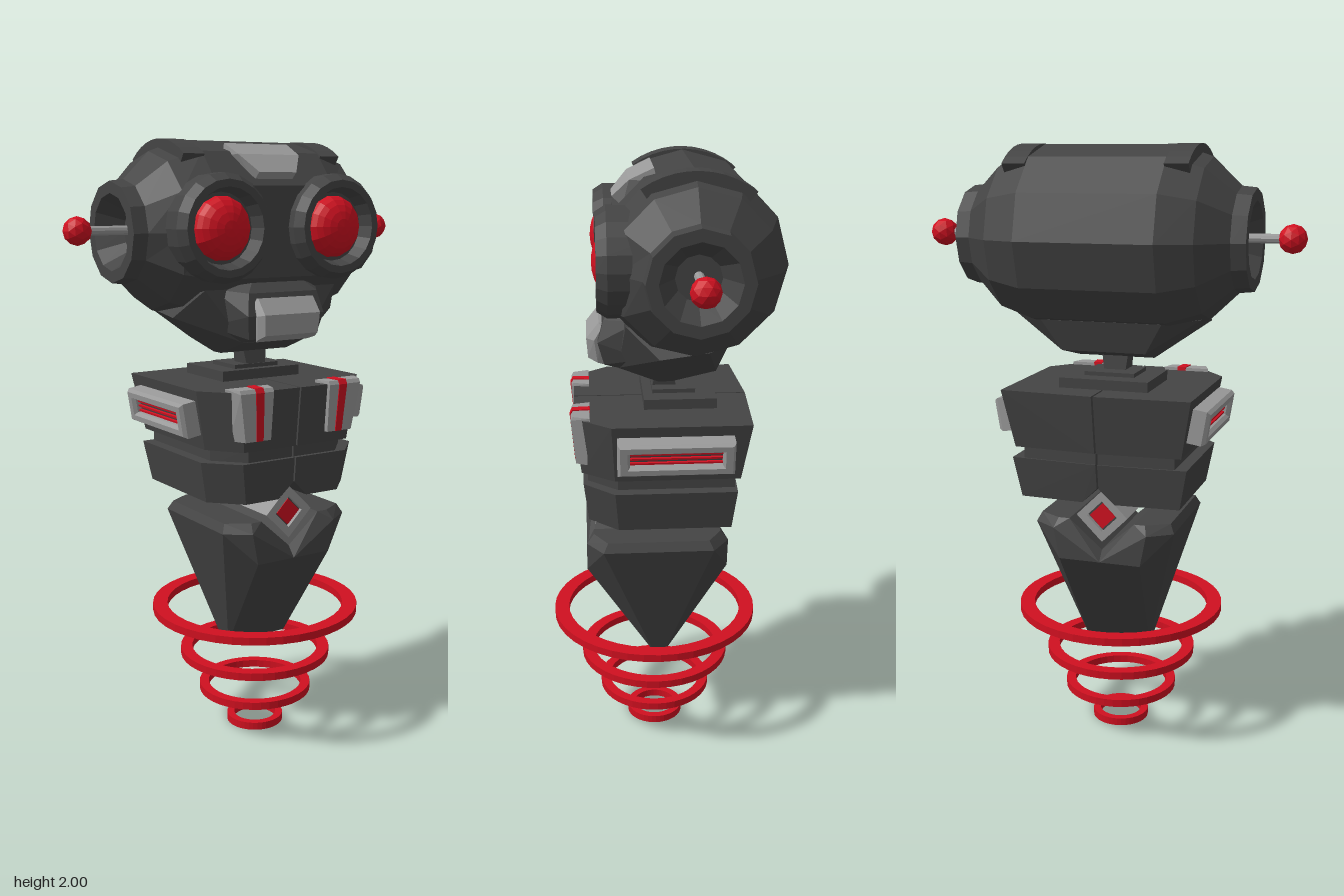
import * as THREE from 'three';
import { ConvexGeometry } from 'three/addons/geometries/ConvexGeometry.js';

const mat = (color) => new THREE.MeshStandardMaterial({ color, flatShading: true });

export function createModel() {
  const model = new THREE.Group();
  const dark = mat(0x444444), grey = mat(0x999999), red = mat(0xd01020);

  const add = (name, geo, material, x = 0, y = 0, z = 0, parent = model) => {
    const mesh = new THREE.Mesh(geo, material);
    mesh.name = name;
    mesh.position.set(x, y, z);
    parent.add(mesh);
    return mesh;
  };
  const box = (name, w, h, d, material, x, y, z, parent) =>
    add(name, new THREE.BoxGeometry(w, h, d), material, x, y, z, parent);
  const lathe = (pts, sides) => new THREE.LatheGeometry(pts.map((p) => new THREE.Vector2(...p)), sides);
  // faceted solid from corner points; s = -1 gives the other side
  const hull = (pts, s = 1) => new ConvexGeometry(pts.map(([x, y, z]) => new THREE.Vector3(x * s, y, z)));
  const both = (pts) => hull([...pts, ...pts.map(([x, y, z]) => [-x, y, z])]);

  // head barrel with hollow ears, flattened where the eyes sit
  const headY = 1.716, headZ = -0.087;
  const half = [[0.29, 0.22], [0.252, 0.33], [0.165, 0.42], [0.16, 0.467], [0.122, 0.467], [0.07, 0.385], [0, 0.385]];
  const profile = [...half.map(([r, x]) => [r, -x]).reverse(), ...half];
  const barrel = lathe(profile, 12).rotateZ(-Math.PI / 2).scale(1, 0.985, 0.99);
  const bp = barrel.attributes.position;
  for (let i = 0; i < bp.count; i++) bp.setZ(i, Math.min(bp.getZ(i), 0.235));
  add('head', barrel, dark, 0, headY, headZ);

  // forehead plate
  add('foreheadPlate', both([
    [0.12, 1.99, 0.025], [0.115, 1.955, 0.1], [0.07, 1.9, 0.152],
    [0.12, 1.95, 0.015], [0.07, 1.87, 0.12],
  ]), grey);

  // jaw under the head, and the snout in front of it
  add('jaw', both([
    [0.13, 1.325, 0.015], [0.13, 1.325, -0.03], [0.14, 1.36, -0.17], [0.2, 1.46, -0.2],
    [0.18, 1.375, 0.06], [0.31, 1.45, 0.02], [0.31, 1.47, -0.13], [0.25, 1.54, 0.12], [0.12, 1.37, 0.14],
  ]), dark);
  add('snout', both([
    [0.1, 1.56, 0.155], [0.13, 1.53, 0.185], [0.145, 1.46, 0.205], [0.13, 1.385, 0.185],
    [0.2, 1.54, 0.08], [0.2, 1.42, 0.06], [0.12, 1.36, 0.1],
  ]), dark);
  add('mouthPlate', both([
    [0.105, 1.515, 0.2], [0.105, 1.465, 0.24], [0.1, 1.4, 0.235], [0.115, 1.5, 0.19],
    [0.118, 1.46, 0.215], [0.11, 1.385, 0.205], [0.1, 1.375, 0.18], [0.1, 1.51, 0.15],
  ]), grey);

  for (const s of [1, -1]) {
    const side = s > 0 ? 'left' : 'right';

    // goggle with a sunken dish and a domed eye
    const rim = lathe([[0.165, 0.03], [0.168, 0.175], [0.148, 0.207], [0.125, 0.207], [0.11, 0.157], [0, 0.157]], 20);
    add(side + 'EyeRim', rim.rotateX(Math.PI / 2), dark, s * 0.212, 1.73, 0);
    const eye = new THREE.SphereGeometry(0.1, 14, 6, 0, Math.PI * 2, 0, Math.PI / 2).rotateX(Math.PI / 2).scale(1, 1, 0.65);
    add(side + 'Eye', eye, red, s * 0.212, 1.73, 0.155);

    // strap over the crown, following the barrel
    const strap = lathe([[0.25, 0.22], [0.288, 0.22], [0.288, 0.295], [0.25, 0.295]], 12);
    const arc = new THREE.Shape();
    arc.absarc(0, 0, 0.288, Math.PI * 0.29, Math.PI * 0.69, false);
    arc.absarc(0, 0, 0.24, Math.PI * 0.69, Math.PI * 0.29, true);
    strap.dispose();
    const strapGeo = new THREE.ExtrudeGeometry(arc, { depth: 0.075, bevelEnabled: false, curveSegments: 5 });
    strapGeo.translate(0, 0, -0.0375).rotateY(Math.PI / 2);
    add(side + 'CrownStrap', strapGeo, dark, s * 0.2575, headY, headZ);

    // antenna
    add(side + 'AntennaRod', new THREE.CylinderGeometry(0.015, 0.015, 0.19, 10).rotateZ(Math.PI / 2), grey, s * 0.465, 1.722, headZ);
    add(side + 'AntennaBall', new THREE.IcosahedronGeometry(0.045, 1), red, s * 0.58, 1.722, headZ);

    // chest, split down the middle
    const g = 0.003;
    add(side + 'Chest', hull([
      [g, 1.237, 0.285], [0.22, 1.237, 0.285], [0.315, 1.237, 0.17], [0.315, 1.237, -0.27], [g, 1.237, -0.285],
      [g, 1.045, 0.265], [0.2, 1.045, 0.265], [0.28, 1.045, 0.16], [0.28, 1.045, -0.24], [g, 1.045, -0.255],
    ], s), dark);
    add(side + 'Waist', hull([1.05, 0.99].flatMap((y) => [
      [g, y, 0.245], [0.17, y, 0.245], [0.255, y, 0.15], [0.255, y, -0.225], [g, y, -0.24],
    ]), s), dark);

    // belly, cut away around the diamond core
    add(side + 'Belly', hull([
      [g, 1.005, 0.26], [0.2, 1.005, 0.26], [0.295, 1.005, 0.16], [0.295, 1.005, -0.23], [g, 1.005, -0.245],
      [g, 0.922, 0.252], [g, 0.922, -0.232], [0.055, 0.87, 0.245], [0.055, 0.87, -0.225],
      [0.18, 0.87, 0.245], [0.27, 0.87, 0.15], [0.27, 0.87, -0.215],
    ], s), dark);

    // tapering lower body with a notch under the core
    add(side + 'LowerBody', hull([
      [0, 0.315, 0.03], [0.115, 0.315, 0.03], [0.115, 0.315, -0.01], [0, 0.315, -0.01],
      [0.16, 0.77, 0.255], [0.24, 0.77, 0.2], [0.16, 0.77, -0.22], [0.24, 0.77, -0.165],
      [0.14, 0.665, 0.255], [0.14, 0.665, -0.22], [0, 0.665, 0.255], [0, 0.665, -0.22],
      [0.15, 0.8, 0.23], [0.225, 0.8, 0.185], [0.15, 0.8, -0.195], [0.225, 0.8, -0.15],
      [0.112, 0.8, 0.23], [0.112, 0.8, -0.195], [0, 0.7, 0.225], [0, 0.7, -0.19],
    ], s), dark);

    // striped shoulder plate
    add(side + 'ShoulderPlate', hull([
      [0.093, 1.247, 0.235], [0.25, 1.247, 0.235], [0.108, 1.247, 0.288], [0.23, 1.247, 0.288],
      [0.108, 1.235, 0.295], [0.23, 1.235, 0.295],
      [0.11, 1.08, 0.282], [0.205, 1.08, 0.282], [0.1, 1.08, 0.23], [0.23, 1.08, 0.23],
    ], s), grey);
    add(side + 'ShoulderStripe', hull([
      [0.14, 1.25, 0.234], [0.17, 1.25, 0.234], [0.145, 1.25, 0.29], [0.175, 1.25, 0.29],
      [0.145, 1.235, 0.298], [0.175, 1.235, 0.298], [0.14, 1.08, 0.285], [0.165, 1.08, 0.285], [0.15, 1.08, 0.23],
    ], s), red);

    // side vent: hollow frame with red slats
    const vent = new THREE.Group();
    vent.name = side + 'Vent';
    const rect = (path, w, h) => path.moveTo(-w, -h).lineTo(w, -h).lineTo(w, h).lineTo(-w, h).closePath();
    const frame = rect(new THREE.Shape(), 0.175, 0.048);
    frame.holes.push(rect(new THREE.Path(), 0.152, 0.03));
    add('ventFrame', new THREE.ExtrudeGeometry(frame, {
      depth: 0.055, bevelThickness: 0.012, bevelSize: 0.008, bevelSegments: 1,
    }), grey, 0, 0, -0.015, vent);
    box('ventBack', 0.31, 0.07, 0.02, dark, 0, 0, 0.015, vent);
    for (let i = -1; i <= 1; i++) box('ventSlat', 0.3, 0.006, 0.012, red, 0, i * 0.016, 0.028, vent);
    vent.rotation.set(0.16, s * Math.PI / 2, 0, 'YXZ');
    vent.position.set(s * 0.305, 1.147, -0.03);
    model.add(vent);
  }

  // neck on a stepped collar
  box('collar', 0.3, 0.04, 0.235, dark, 0, 1.25, -0.057);
  box('collarStep', 0.17, 0.016, 0.14, dark, 0, 1.275, -0.04);
  add('neck', both([
    [0.035, 1.265, 0.03], [0.035, 1.265, -0.05], [0.03, 1.3, 0.015], [0.03, 1.3, -0.035],
    [0.045, 1.34, 0.015], [0.045, 1.34, -0.045],
  ]), dark);

  // diamond core running front to back
  const diamond = (r) => new THREE.Shape([[0, -r], [r, 0], [0, r], [-r, 0]].map((p) => new THREE.Vector2(...p)));
  const outer = diamond(0.088);
  outer.holes.push(diamond(0.052));
  add('coreFrame', new THREE.ExtrudeGeometry(outer, { depth: 0.415, bevelEnabled: false }), grey, 0, 0.815, -0.19);
  add('coreBack', new THREE.ExtrudeGeometry(diamond(0.054), { depth: 0.385, bevelEnabled: false }), dark, 0, 0.815, -0.175);
  add('coreGem', new THREE.ExtrudeGeometry(diamond(0.044), { depth: 0.405, bevelEnabled: false }), red, 0, 0.815, -0.185);

  // hover rings shrinking towards the ground
  for (const [r, w, y] of [[0.355, 0.05, 0.435], [0.26, 0.04, 0.27], [0.195, 0.032, 0.135], [0.098, 0.025, 0.013]]) {
    const h = 0.013;
    add('hoverRing', lathe([[r - w, -h], [r, -h], [r, h], [r - w, h], [r - w, -h]], 40), red, 0, y, 0.02);
  }
  return model;
}
